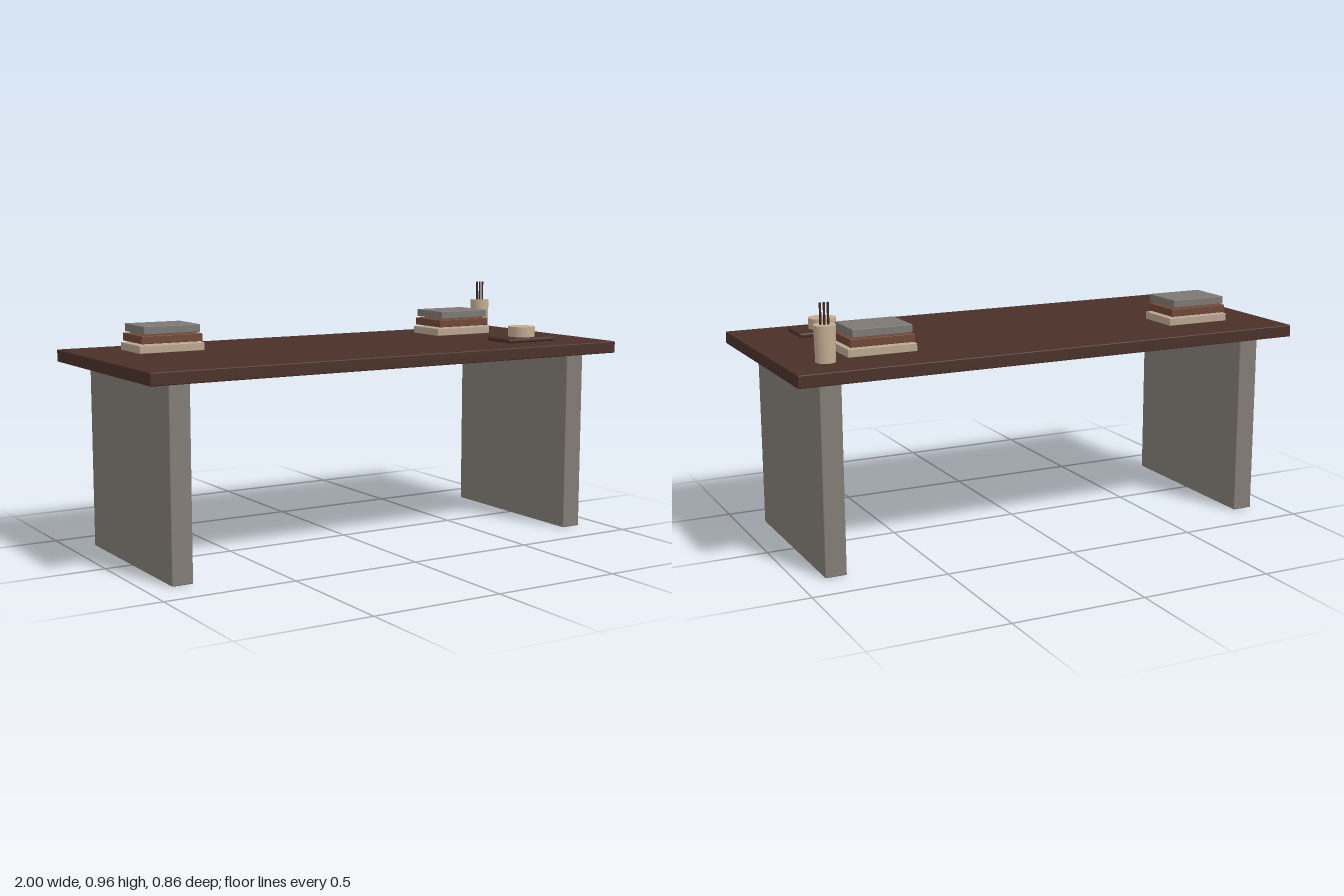
import * as THREE from 'three';
import { RoundedBoxGeometry } from 'three/addons/geometries/RoundedBoxGeometry.js';

const mat = (name, color) => {
  const m = new THREE.MeshStandardMaterial({ color });
  m.name = name;
  return m;
};

export function createModel() {
  const wood = mat('darkWood', 0x4a3029);
  const stone = mat('greyStone', 0x827c74);
  const greyCover = mat('greyCover', 0x7c7974);
  const brownCover = mat('brownCover', 0x704735);
  const creamCover = mat('creamCover', 0xb9a590);
  const clay = mat('beigeCeramic', 0xc4ae93);
  const pencilMat = mat('darkPencil', 0x3a2b24);

  const model = new THREE.Group();
  model.name = 'desk';

  const add = (parent, name, geometry, material, x, y, z) => {
    const mesh = new THREE.Mesh(geometry, material);
    mesh.name = name;
    mesh.position.set(x, y, z);
    parent.add(mesh);
    return mesh;
  };
  // Box with a slightly softened edge, placed by its underside
  const slab = (parent, name, material, w, h, d, x, y, z, r = 0.004) =>
    add(parent, name, new RoundedBoxGeometry(w, h, d, 2, r), material, x, y + h / 2, z);

  // Table top and the two panel legs
  slab(model, 'tableTop', wood, 2, 0.046, 0.856, 0, 0.704, 0);
  for (const [name, side] of [['leftLeg', 1], ['rightLeg', -1]]) {
    slab(model, name, stone, 0.08, 0.702, 0.7, side * 0.86, 0, 0);
  }

  // Two stacks of three books, each book narrower than the one below
  for (const [name, x] of [['leftBooks', 0.63], ['rightBooks', -0.685]]) {
    const stack = new THREE.Group();
    stack.name = name;
    stack.position.set(x, 0.754, -0.168);
    [creamCover, brownCover, greyCover].forEach((cover, i) => {
      slab(stack, 'book' + (i + 1), cover, 0.26 - i * 0.0175, 0.029, 0.176, 0, i * 0.0345, 0, 0.002);
    });
    model.add(stack);
  }

  // Pencil cup, tapering slightly to its base
  const cup = new THREE.Group();
  cup.name = 'pencilCup';
  cup.position.set(0.845, 0.75, -0.263);
  add(cup, 'cup', new THREE.CylinderGeometry(0.039, 0.035, 0.13, 32), clay, 0, 0.065, 0);
  for (const i of [-1, 0, 1]) {
    add(cup, 'pencil', new THREE.CylinderGeometry(0.004, 0.004, 0.14, 10), pencilMat, i * 0.014, 0.137, 0);
  }
  model.add(cup);

  // Tray with a small bowl
  slab(model, 'tray', wood, 0.228, 0.018, 0.144, 0.68, 0.752, 0.235, 0.008);
  add(model, 'bowl', new THREE.CylinderGeometry(0.053, 0.052, 0.04, 32), clay, 0.68, 0.79, 0.236);

  return model;
}
